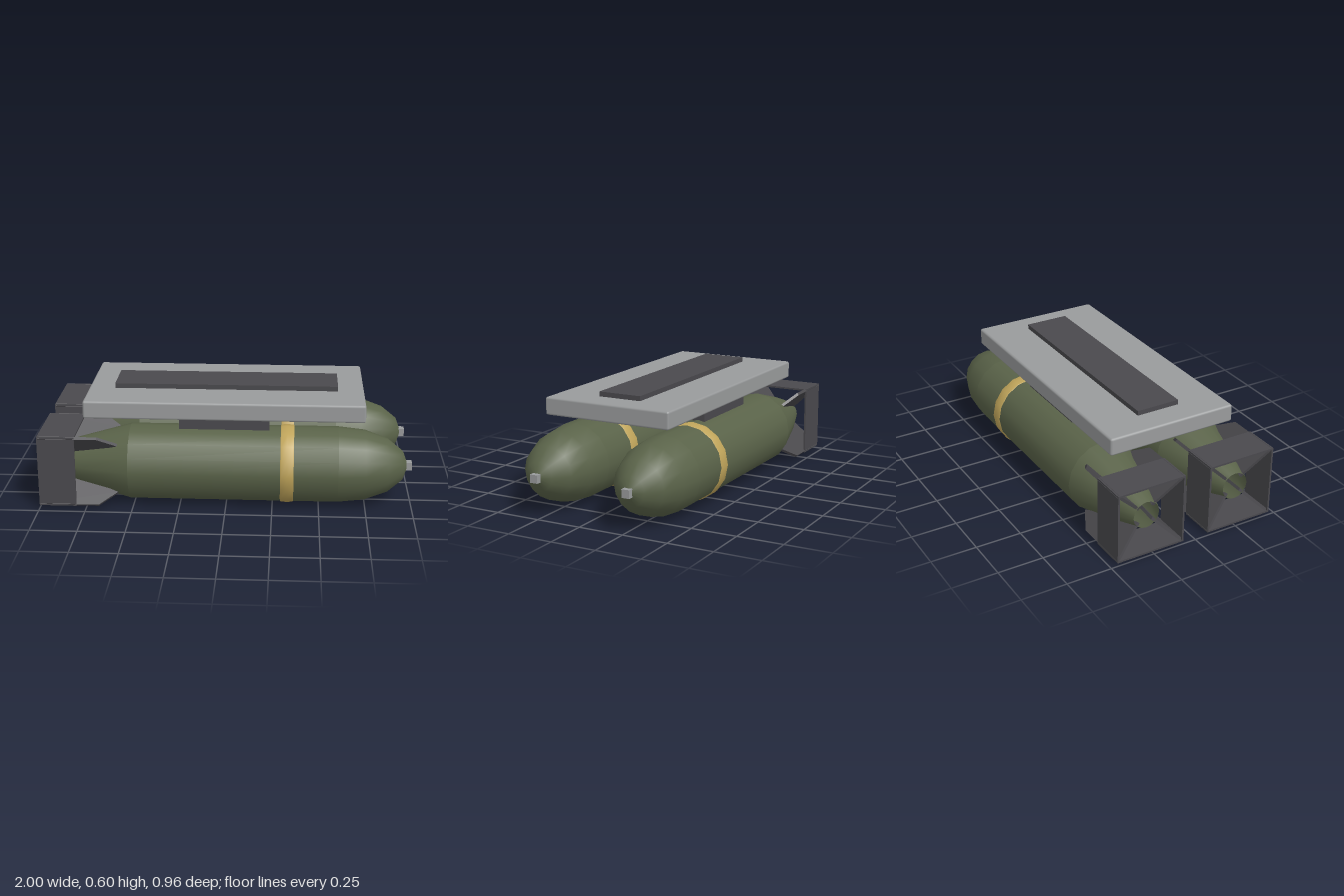
import * as THREE from 'three';
import { RoundedBoxGeometry } from 'three/addons/geometries/RoundedBoxGeometry.js';

const material = (color, side = THREE.FrontSide) => new THREE.MeshStandardMaterial({ color, side });
const GREEN = material(0x5a6349, THREE.DoubleSide);
const DARK = material(0x4a494d);
const GOLD = material(0xbfa45a);
const GREY = material(0x999b9c);

const AXIS_Y = 0.212;
const AXIS_Z = 0.269;
const RADIUS = 0.205;

function add(parent, name, geometry, mat, x = 0, y = 0, z = 0) {
  const mesh = new THREE.Mesh(geometry, mat);
  mesh.name = name;
  mesh.position.set(x, y, z);
  parent.add(mesh);
  return mesh;
}

// Box given by its extents along x and y, and its depth in z
function slab(x0, x1, y0, y1, depth) {
  return new THREE.BoxGeometry(x1 - x0, y1 - y0, depth).translate((x0 + x1) / 2, (y0 + y1) / 2, 0);
}

// Surface of revolution around the x axis, from [x, radius] pairs
function turned(profile) {
  const points = profile.map(([x, r]) => new THREE.Vector2(r, x));
  return new THREE.LatheGeometry(points, 16).rotateZ(-Math.PI / 2);
}

function createBomb() {
  const bomb = new THREE.Group();

  // Casing: open tapered tail, straight middle, elliptical nose
  add(bomb, 'tailCone', turned([[-0.95, 0.075], [-0.8, 0.127], [-0.52, RADIUS]]), GREEN);
  add(bomb, 'casing', turned([[-0.52, RADIUS], [0.6, RADIUS]]), GREEN);
  const nose = [];
  for (let i = 0; i <= 4; i++) {
    const a = (i * Math.PI) / 8;
    nose.push([0.6 + 0.38 * Math.sin(a), RADIUS * Math.cos(a)]);
  }
  add(bomb, 'nose', turned(nose), GREEN);
  add(bomb, 'fuze', slab(0.95, 1, -0.022, 0.022, 0.044), GREY);

  // Marking band with softly rounded edges
  add(bomb, 'band', turned([[0.29, 0.203], [0.295, 0.209], [0.327, 0.212], [0.36, 0.209], [0.365, 0.203]]), GOLD);

  // Square open box around the tail
  const square = (h) => [[-h, -h], [h, -h], [h, h], [-h, h]].map(([x, y]) => new THREE.Vector2(x, y));
  const frame = new THREE.Shape(square(0.195));
  frame.holes.push(new THREE.Path(square(0.185)));
  const box = new THREE.ExtrudeGeometry(frame, { depth: 0.2, bevelEnabled: false }).rotateY(Math.PI / 2);
  add(bomb, 'tailBox', box, DARK, -1);

  // Four diagonal fins reaching the corners of the box
  const outline = [[-0.58, 0.193], [-0.68, 0.27], [-0.995, 0.27], [-0.94, 0.055], [-0.8, 0.1]];
  const finShape = new THREE.Shape(outline.map(([x, r]) => new THREE.Vector2(x, r)));
  const finGeometry = new THREE.ExtrudeGeometry(finShape, { depth: 0.016, bevelEnabled: false }).translate(0, 0, -0.008);
  for (let i = 0; i < 4; i++) {
    add(bomb, 'fin', finGeometry, DARK).rotation.x = Math.PI / 4 + (i * Math.PI) / 2;
  }
  return bomb;
}

export function createModel() {
  const model = new THREE.Group();
  model.name = 'twinBombRack';

  // Two bombs, each hung from its own pylon
  for (const side of [1, -1]) {
    const bomb = createBomb();
    bomb.name = side > 0 ? 'frontBomb' : 'backBomb';
    bomb.position.set(0, AXIS_Y, side * AXIS_Z);
    model.add(bomb);
    add(model, 'pylon', slab(-0.255, 0.23, 0.39, 0.485, 0.07), DARK, 0, 0, side * AXIS_Z);
  }

  // Carrier plate and the mounting rail on top
  add(model, 'plate', new RoundedBoxGeometry(1.505, 0.097, 0.732, 1, 0.012), GREY, -0.0125, 0.5285, 0);
  add(model, 'rail', slab(-0.62, 0.597, 0.57, 0.603, 0.244), DARK);
  return model;
}
